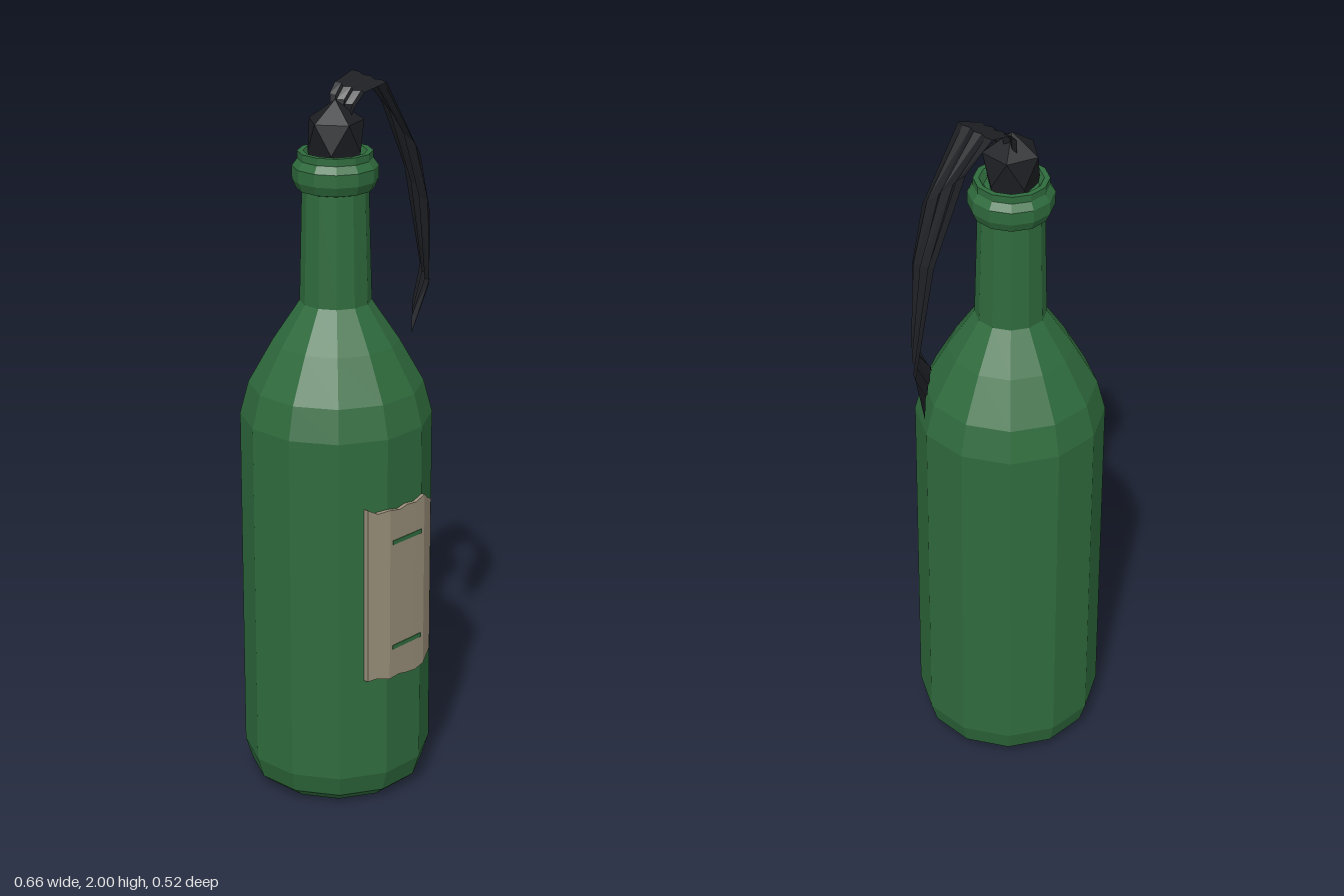
import * as THREE from 'three';

const CX = -0.08, CZ = -0.007;
const mat = (color) => new THREE.MeshStandardMaterial({ color, flatShading: true, side: THREE.DoubleSide });

function addMesh(parent, name, geometry, material) {
  const mesh = new THREE.Mesh(geometry, material);
  mesh.name = name;
  parent.add(mesh);
  return mesh;
}

// Skin a list of equally long rows of points
function skin(rows) {
  const n = rows[0].length, index = [];
  for (let i = 0; i < rows.length - 1; i++) {
    for (let j = 0; j < n - 1; j++) {
      const a = i * n + j, b = a + n;
      index.push(a, b, a + 1, b, b + 1, a + 1);
    }
  }
  const g = new THREE.BufferGeometry();
  g.setAttribute('position', new THREE.Float32BufferAttribute(rows.flat(2), 3));
  g.setIndex(index);
  g.computeVertexNormals();
  return g;
}

// Faceted turned part on the bottle axis; radii are measured to the flat sides
function turned(parent, name, profile, sides, phase, material) {
  const k = 1 / Math.cos(Math.PI / sides);
  const pts = profile.map(([r, y]) => new THREE.Vector2(r * k, y));
  const mesh = addMesh(parent, name, new THREE.LatheGeometry(pts, sides, phase), material);
  mesh.position.set(CX, 0, CZ);
  return mesh;
}

export function createModel() {
  const group = new THREE.Group();
  const glass = mat(0x2f6b3d), cloth = mat(0x1d1f23), paper = mat(0x968c77);
  const half = Math.PI / 12;

  // Bottle body, shoulder and neck
  turned(group, 'bottleBody', [
    [0, 0], [0.2, 0], [0.235, 0.03], [0.253, 0.09], [0.253, 1.08], [0.23, 1.17],
    [0.165, 1.29], [0.094, 1.4], [0.086, 1.72],
  ], 12, half, glass);

  // Rounded lip and mouth
  turned(group, 'bottleLip', [
    [0.084, 1.705], [0.1, 1.71], [0.111, 1.735], [0.111, 1.77], [0.097, 1.79],
    [0.097, 1.81], [0.082, 1.81], [0.07, 1.79], [0, 1.79],
  ], 12, half, glass);

  // Cloth plug: apex over two staggered rings of five
  const ring = (r, y, turn) => Array.from({ length: 6 }, (_, i) => {
    const a = (i % 5) * Math.PI * 0.4 + turn;
    return [CX + r * Math.sin(a), y, CZ + r * Math.cos(a)];
  });
  addMesh(group, 'clothPlug', skin([
    ring(0.06, 1.74, 0.3), ring(0.074, 1.81, 0.3), ring(0.077, 1.89, 0.3 + Math.PI / 5), ring(0, 1.945, 0),
  ]), cloth);

  // Hanging rag: near edge, far edge and fold depth for each station
  const stations = [
    [[-0.06, 1.90, 0.03], [-0.06, 1.90, -0.045], 0.006],
    [[-0.06, 1.93, 0.045], [-0.05, 1.95, -0.055], 0.01],
    [[-0.035, 1.965, 0.055], [-0.025, 1.975, -0.06], 0.01],
    [[0.03, 1.985, 0.075], [0.05, 1.995, -0.067], 0.006],
    [[0.137, 1.775, 0.1], [0.146, 1.935, -0.07], 0.012],
    [[0.175, 1.62, 0.1], [0.246, 1.70, -0.056], 0.014],
    [[0.2, 1.4, 0.08], [0.327, 1.4, -0.067], 0.01],
    [[0.14, 1.27, 0.07], [0.295, 1.26, -0.065], 0],
  ];
  const folds = [0, 0.7, -0.6, 0.8, -0.5, 0.6, 0];
  const tatters = [0, 0.04, 0.015, 0.035, 0.025, 0.05, 0];
  const rag = stations.map(([near, far, depth], i) => folds.map((f, j) => {
    const t = j / (folds.length - 1);
    const p = near.map((v, k) => v + (far[k] - v) * t);
    p[0] += f * depth;
    p[1] += i === stations.length - 1 ? tatters[j] : Math.min(f, 0) * depth * 0.5;
    return p;
  }));
  addMesh(group, 'hangingRag', skin(rag), cloth);

  // Torn paper label wrapped over the front facets: x, bottom, top
  const torn = [
    [-0.205, 0.385, 0.89], [-0.18, 0.39, 0.876], [-0.148, 0.383, 0.882], [-0.11, 0.386, 0.874],
    [-0.08, 0.38, 0.88], [-0.045, 0.376, 0.876], [-0.01, 0.384, 0.888], [0.02, 0.392, 0.866], [0.05, 0.4, 0.85],
  ];
  const front = (x) => 0.257 - Math.max(0, Math.abs(x - CX) - 0.068) * 0.5;
  const column = ([x, low, high], lift) => {
    const z = front(x), back = z - 0.02;
    return [[x, low, back], [x, low, lift ? z : back], [x, high, lift ? z : back], [x, high, back]];
  };
  const columns = [
    column(torn[0], false), ...torn.map((c) => column(c, true)), column(torn[torn.length - 1], false),
  ];
  // Columns run left to right, so reverse them to face outward
  addMesh(group, 'paperLabel', skin(columns.reverse().map((c) => c.reverse())), paper);

  // Two thin rules across the label
  for (const y of [0.475, 0.785]) {
    const bar = addMesh(group, 'labelRule', new THREE.BoxGeometry(0.115, 0.012, 0.006), glass);
    bar.position.set(CX, y, 0.256);
  }

  return group;
}
